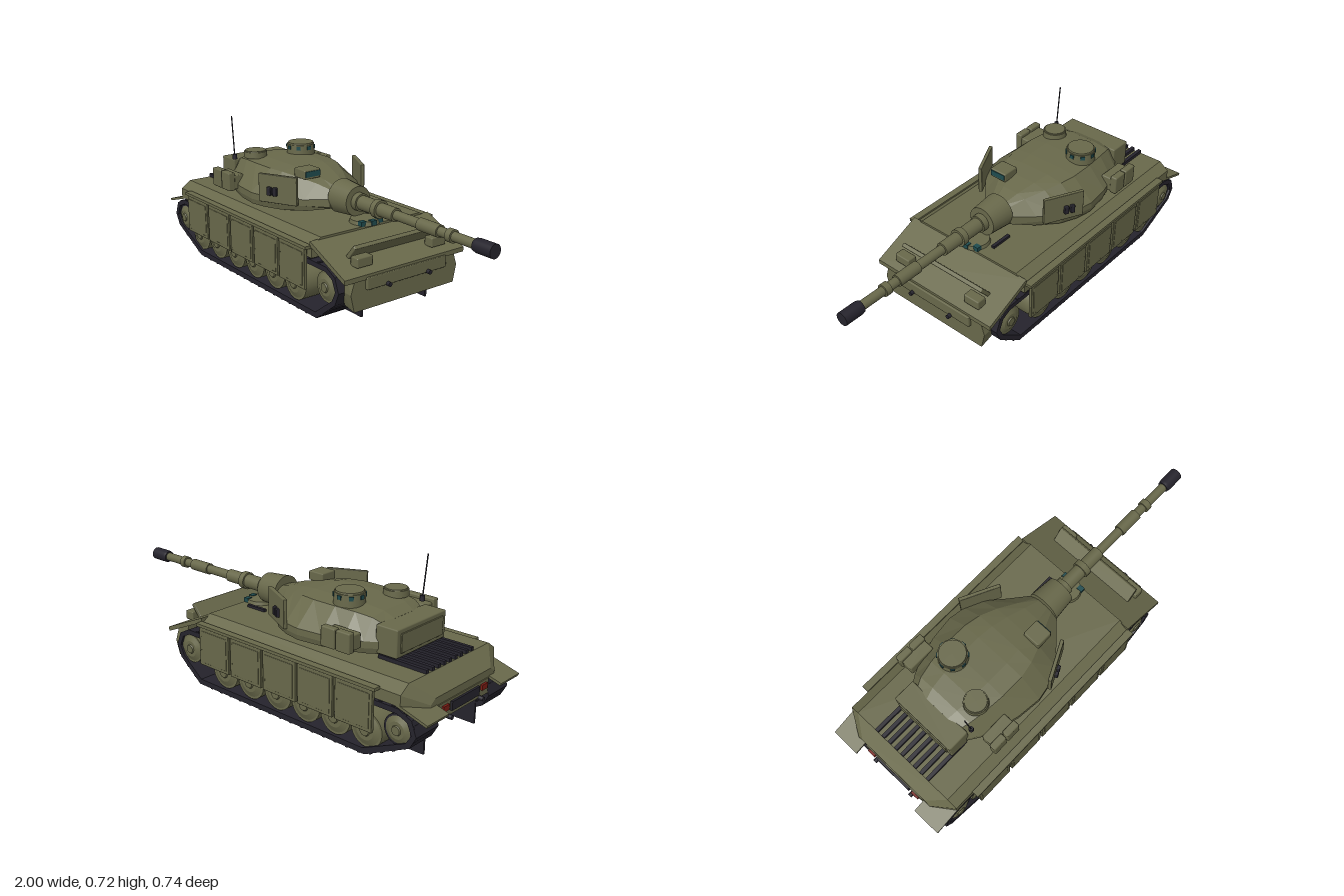
import * as THREE from 'three';
import { RoundedBoxGeometry } from 'three/addons/geometries/RoundedBoxGeometry.js';

const mat = (color) => new THREE.MeshStandardMaterial({ color, side: THREE.DoubleSide });
const GREEN = mat(0x68684a), DARK = mat(0x25232c), GLASS = mat(0x1f4b4e), RED = mat(0x7a1c14);

export function createModel() {
  const root = new THREE.Group();
  const add = (name, geo, m, x = 0, y = 0, z = 0, parent = root) => {
    const mesh = new THREE.Mesh(geo, m);
    mesh.name = name;
    mesh.position.set(x, y, z);
    parent.add(mesh);
    return mesh;
  };
  const box = (name, w, h, d, m, x, y, z, parent) => add(name, new THREE.BoxGeometry(w, h, d), m, x, y, z, parent);
  const rbox = (name, w, h, d, m, x, y, z, parent) =>
    add(name, new RoundedBoxGeometry(w, h, d, 1, Math.min(w, h, d, 0.03) * 0.2), m, x, y, z, parent);
  const disc = (name, r1, r2, h, m, x, y, z, parent) =>
    add(name, new THREE.CylinderGeometry(r1, r2, h, 24), m, x, y, z, parent);

  // Mirrored skin over stations [x, [[z, y], ...]], half-profiles listed top to bottom
  const loft = (stations) => {
    const rings = stations.map(([x, half]) => [
      ...half.map(([z, y]) => [x, y, z]),
      ...[...half].reverse().map(([z, y]) => [x, y, -z])]);
    const pos = [], n = rings[0].length, last = rings[rings.length - 1];
    for (let i = 0; i < rings.length - 1; i++) for (let j = 0; j < n; j++) {
      const k = (j + 1) % n, a = rings[i][j], b = rings[i][k], c = rings[i + 1][k], d = rings[i + 1][j];
      pos.push(...a, ...b, ...c, ...a, ...c, ...d);
    }
    for (let j = 1; j < n - 1; j++) {
      pos.push(...last[0], ...last[j], ...last[j + 1]);
      pos.push(...rings[0][0], ...rings[0][j + 1], ...rings[0][j]);
    }
    const g = new THREE.BufferGeometry();
    g.setAttribute('position', new THREE.Float32BufferAttribute(pos, 3));
    g.computeVertexNormals();
    return g;
  };
  const vecs = (pts) => pts.map(([x, y]) => new THREE.Vector2(x, y));
  const extrude = (shape, depth) => new THREE.ExtrudeGeometry(shape, { depth, bevelEnabled: false });

  // Hull
  const lower = new THREE.Shape(vecs([[-0.93, 0.29], [-0.93, 0.19], [-0.83, 0.09], [0.45, 0.09], [0.45, 0.25], [0.27, 0.33]]));
  add('lowerHull', extrude(lower, 0.362), GREEN, 0, 0, -0.181);
  const deck = [[0.285, 0.36], [0.335, 0.325], [0.335, 0.275]];
  add('upperHull', loft([
    [-0.94, [[0.2, 0.29], [0.23, 0.27], [0.23, 0.25]]],
    [-0.87, deck], [0.27, deck]]), GREEN);
  const slab = (x, y) => [x, [[0.34, y], [0.34, y - 0.022]]];
  add('glacis', loft([slab(0.265, 0.352), slab(0.505, 0.247)]), GREEN);
  add('nosePlate', loft([
    [0.43, [[0.28, 0.26], [0.3, 0.17], [0.28, 0.1]]],
    [0.5, [[0.28, 0.24], [0.303, 0.17], [0.285, 0.09]]]]), GREEN);
  rbox('bowPanel', 0.02, 0.055, 0.45, GREEN, 0.505, 0.207, 0);
  const splash = rbox('splashBoard', 0.02, 0.09, 0.48, GREEN, 0.413, 0.318, 0);
  splash.rotation.z = -0.7;
  box('rearPlate', 0.03, 0.07, 0.36, GREEN, -0.93, 0.22, 0);
  box('rearGrille', 0.01, 0.04, 0.2, DARK, -0.95, 0.225, 0);
  for (let i = 0; i < 9; i++) box('engineLouvre', 0.24, 0.02, 0.018, DARK, -0.75, 0.367, -0.16 + i * 0.04);

  // Driver's hatch with periscopes
  disc('driverHatch', 0.065, 0.07, 0.02, GREEN, 0.215, 0.367, 0);
  for (const z of [-0.048, 0, 0.048]) box('driverPeriscope', 0.025, 0.022, 0.028, GLASS, 0.272 - Math.abs(z) * 0.3, 0.37, z);
  box('toolBar', 0.11, 0.012, 0.016, DARK, 0.15, 0.366, -0.095);

  // Track outline, front of the model at +x
  const outline = vecs([[-0.7, 0.008], [0.3, 0.008], [0.43, 0.11], [0.455, 0.17], [0.43, 0.235], [0.37, 0.265],
    [-0.86, 0.265], [-0.925, 0.235], [-0.95, 0.17], [-0.92, 0.115]]);
  const inner = vecs([[-0.69, 0.034], [0.29, 0.034], [0.41, 0.125], [0.432, 0.17], [0.41, 0.22], [0.365, 0.242],
    [-0.855, 0.242], [-0.905, 0.22], [-0.926, 0.17], [-0.9, 0.13]]);

  for (const s of [1, -1]) {
    const side = new THREE.Group();
    side.name = s > 0 ? 'leftSide' : 'rightSide';
    root.add(side);
    const belt = new THREE.Shape(outline);
    belt.holes.push(new THREE.Path(inner));
    add('trackBelt', extrude(belt, 0.15), DARK, 0, 0, s > 0 ? 0.183 : -0.333, side);
    box('trackGuide', 1.32, 0.14, 0.01, DARK, -0.23, 0.09, s * 0.186, side);
    const steps = new THREE.Shape([...outline, outline[0]]).getSpacedPoints(48);
    for (let i = 0; i < 48; i++) {
      const a = steps[i], b = steps[i + 1];
      const link = box('trackLink', 0.012, 0.008, 0.148, DARK, (a.x + b.x) / 2, (a.y + b.y) / 2, s * 0.258, side);
      link.rotation.z = Math.atan2(b.y - a.y, b.x - a.x);
    }
    // Road wheels, sprocket and idler
    const wheel = (name, x, y, r, rim) => {
      const g = new THREE.Group();
      g.name = name;
      g.position.set(x, y, s * 0.257);
      g.rotation.x = s * Math.PI / 2;
      side.add(g);
      disc('tyre', r, r, 0.13, rim, 0, 0, 0, g);
      disc('wheelDisc', r * 0.55, r * 0.9, 0.012, GREEN, 0, 0.07, 0, g);
      disc('hub', r * 0.28, r * 0.34, 0.008, GREEN, 0, 0.078, 0, g);
    };
    for (let i = 0; i < 6; i++) wheel('roadWheel', -0.7 + i * 0.166, 0.117, 0.08, GREEN);
    wheel('sprocket', 0.36, 0.17, 0.07, GREEN);
    wheel('idler', -0.855, 0.17, 0.068, DARK);

    // Skirt panels with raised faces under a rail
    box('skirtRail', 1.04, 0.014, 0.035, GREEN, -0.25, 0.327, s * 0.352, side);
    box('skirtBacking', 1.0, 0.15, 0.008, GREEN, -0.25, 0.235, s * 0.35, side);
    for (let i = 0; i < 5; i++) {
      rbox('skirtPanel', 0.193, 0.185, 0.016, GREEN, -0.66 + i * 0.205, 0.225, s * 0.356, side);
      rbox('skirtFace', 0.165, 0.155, 0.01, GREEN, -0.66 + i * 0.205, 0.225, s * 0.361, side);
    }
    // Mudguards, lamps and hooks
    const flap = box('rearMudguard', 0.19, 0.012, 0.145, GREEN, -0.907, 0.262, s * 0.2625, side);
    flap.rotation.z = 0.29;
    rbox('headlampBox', 0.05, 0.045, 0.085, GREEN, 0.455, 0.293, s * 0.21, side);
    box('tailLamp', 0.02, 0.025, 0.04, RED, -0.945, 0.23, s * 0.14, side);
    for (const x of [0.52, -0.955]) disc('towHook', 0.01, 0.01, 0.025, DARK, x, 0.185, s * 0.115, side).rotation.z = Math.PI / 2;
  }

  // Turret shell: station x, base, waist and roof half-widths, then roof height
  const turret = new THREE.Group();
  turret.name = 'turret';
  root.add(turret);
  disc('turretRing', 0.22, 0.22, 0.03, GREEN, -0.26, 0.367, 0, turret);
  const rows = [
    [-0.63, 0.16, 0.17, 0.13, 0.505], [-0.58, 0.195, 0.205, 0.15, 0.53], [-0.5, 0.23, 0.24, 0.165, 0.54],
    [-0.4, 0.26, 0.268, 0.175, 0.543], [-0.28, 0.275, 0.282, 0.175, 0.543], [-0.2, 0.26, 0.268, 0.16, 0.54],
    [-0.12, 0.225, 0.235, 0.13, 0.528], [-0.03, 0.145, 0.155, 0.085, 0.508], [0.06, 0.06, 0.075, 0.045, 0.48]];
  add('turretShell', loft(rows.map(([x, b, w, t, y]) => [x,
    [[t * 0.5, y], [t, y - 0.012], [w, x > 0 ? 0.44 : 0.43], [w, 0.4], [b, 0.375 + Math.max(0, x + 0.03) * 0.2]]])), GREEN, 0, 0, 0, turret);
  rbox('bustleBox', 0.11, 0.125, 0.34, GREEN, -0.668, 0.442, 0, turret);
  rbox('bustleLid', 0.015, 0.085, 0.29, GREEN, -0.722, 0.442, 0, turret);

  for (const s of [1, -1]) {
    // Angled cheek shields with lamp clusters
    const cheek = new THREE.Group();
    cheek.name = 'cheekShield';
    cheek.position.set(-0.122, 0.473, s * 0.235);
    cheek.rotation.y = s * 0.46;
    turret.add(cheek);
    rbox('shieldPlate', 0.2, 0.135, 0.018, GREEN, 0, 0, 0, cheek);
    for (const x of [-0.04, -0.01]) rbox('smokeTube', 0.022, 0.04, 0.02, DARK, x, -0.01, s * 0.014, cheek);
    // Stowage boxes on the flanks
    for (const x of [-0.552, -0.472]) rbox('sideBox', 0.074, 0.09, 0.035, GREEN, x, 0.447, s * 0.291, turret);
    rbox('sideBoxMount', 0.14, 0.07, 0.06, GREEN, -0.51, 0.44, s * 0.25, turret);
  }

  // Commander's cupola with a ring of vision blocks
  disc('cupola', 0.068, 0.07, 0.055, GREEN, -0.42, 0.56, -0.105, turret);
  disc('cupolaLid', 0.062, 0.064, 0.01, GREEN, -0.42, 0.59, -0.105, turret);
  for (let i = 0; i < 8; i++) {
    const a = i * Math.PI / 4;
    box('visionBlock', 0.012, 0.018, 0.02, GLASS, -0.42 + Math.cos(a) * 0.066, 0.573, -0.105 + Math.sin(a) * 0.066, turret).rotation.y = -a;
  }
  disc('loaderHatch', 0.056, 0.058, 0.03, GREEN, -0.5, 0.55, 0.113, turret);
  disc('loaderLid', 0.05, 0.052, 0.008, GREEN, -0.5, 0.566, 0.113, turret);
  rbox('sightBox', 0.085, 0.045, 0.09, GREEN, -0.09, 0.538, 0.093, turret);
  box('sightWindow', 0.006, 0.026, 0.08, GLASS, -0.047, 0.54, 0.093, turret);
  box('coaxialPort', 0.02, 0.018, 0.018, DARK, 0.01, 0.425, -0.095, turret);
  disc('antennaBase', 0.01, 0.012, 0.025, DARK, -0.595, 0.525, 0.175, turret);
  disc('antenna', 0.003, 0.003, 0.2, DARK, -0.605, 0.628, 0.175, turret).rotation.z = 0.09;

  // Gun: lathe profiles given as [radius, x]
  const lathe = (name, pts, m) =>
    add(name, new THREE.LatheGeometry(vecs(pts), 24), m, 0, 0.443, 0, turret).rotation.z = -Math.PI / 2;
  // Repeated points keep the steps crisp
  const steps = (list) => list.flatMap(([r, a, b]) => [[r, a], [r, a], [r, b], [r, b]]);
  lathe('mantlet', [[0, 0.05], [0, 0.05], [0.081, 0.05], [0.081, 0.05], [0.07, 0.17], [0.07, 0.17], [0, 0.17]], GREEN);
  lathe('gunSleeve', steps([[0.042, 0.16, 0.2], [0.034, 0.2, 0.3], [0.042, 0.3, 0.33], [0.031, 0.33, 0.43], [0.022, 0.43, 0.58],
    [0.028, 0.58, 0.7], [0.021, 0.7, 0.75], [0.029, 0.75, 0.78], [0.021, 0.78, 0.91]]), GREEN);
  lathe('muzzle', [[0, 0.9], [0.028, 0.9], [0.028, 0.9], [0.031, 0.915], [0.031, 1], [0.031, 1], [0, 1]], DARK);

  return root;
}
